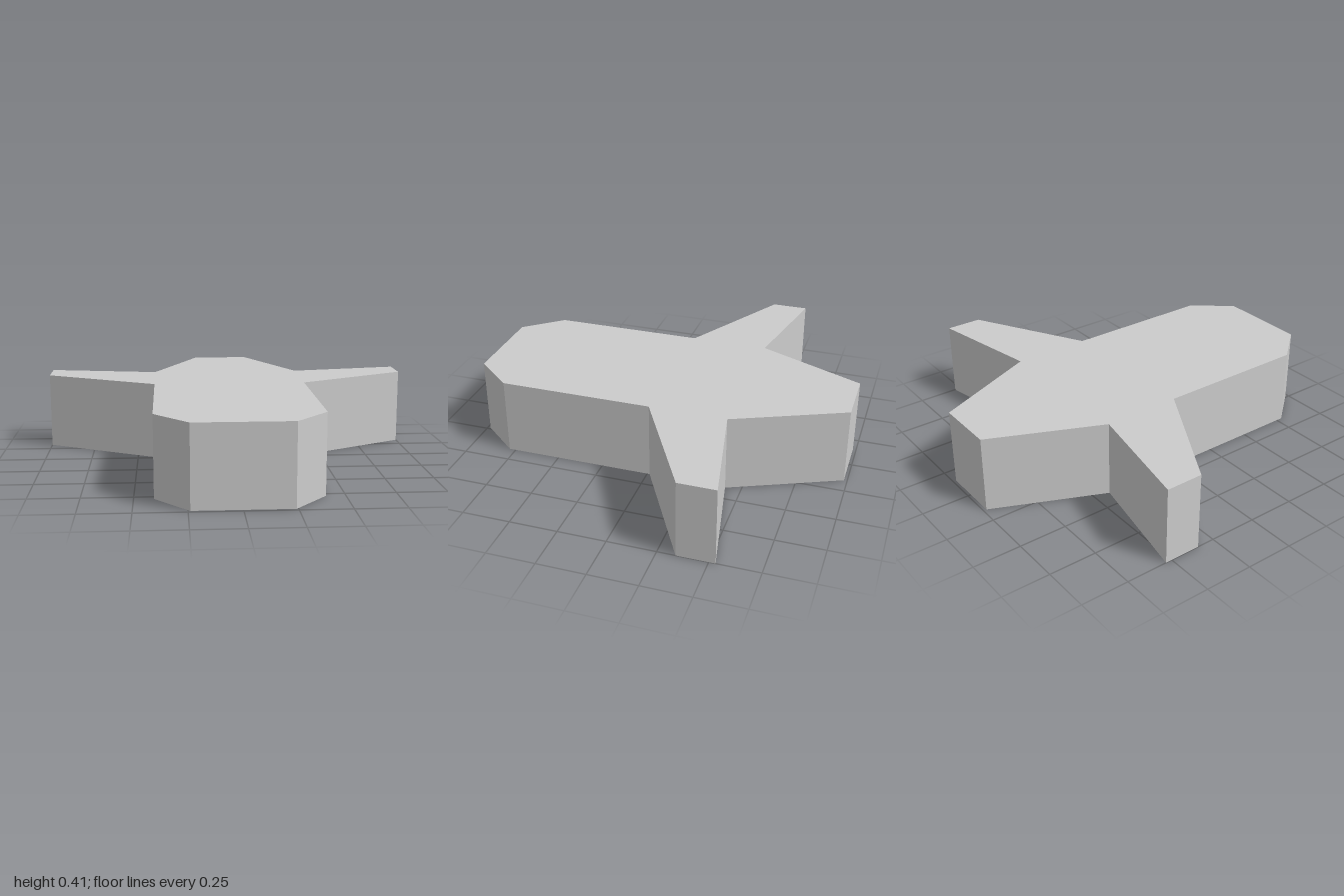
import * as THREE from 'three';

// Left half of the plan outline as [x, z], from nose to tail
const halfOutline = [
  [0.24, 0.983],   // blunt nose
  [0.405, 0.785],  // nose chamfer
  [0.405, -0.013], // wing root, leading edge
  [1, -0.342],     // wing tip, front
  [1, -0.533],     // wing tip, back
  [0.405, -0.418], // wing root, trailing edge
  [0.155, -0.983], // tapered tail
];
const height = 0.405;

export function createModel() {
  const group = new THREE.Group();
  group.name = 'wingedSlab';

  // Mirror the half outline into a closed plan (shape y is -z)
  const left = halfOutline.map(([x, z]) => new THREE.Vector2(x, -z));
  const right = left.map((p) => new THREE.Vector2(-p.x, p.y)).reverse();
  const plan = new THREE.Shape([...left, ...right]);

  // Straight-sided slab standing on the ground
  const geometry = new THREE.ExtrudeGeometry(plan, { depth: height, bevelEnabled: false });
  geometry.rotateX(-Math.PI / 2);

  const body = new THREE.Mesh(
    geometry,
    new THREE.MeshStandardMaterial({ color: 0xcccccc, flatShading: true })
  );
  body.name = 'body';
  group.add(body);
  return group;
}
